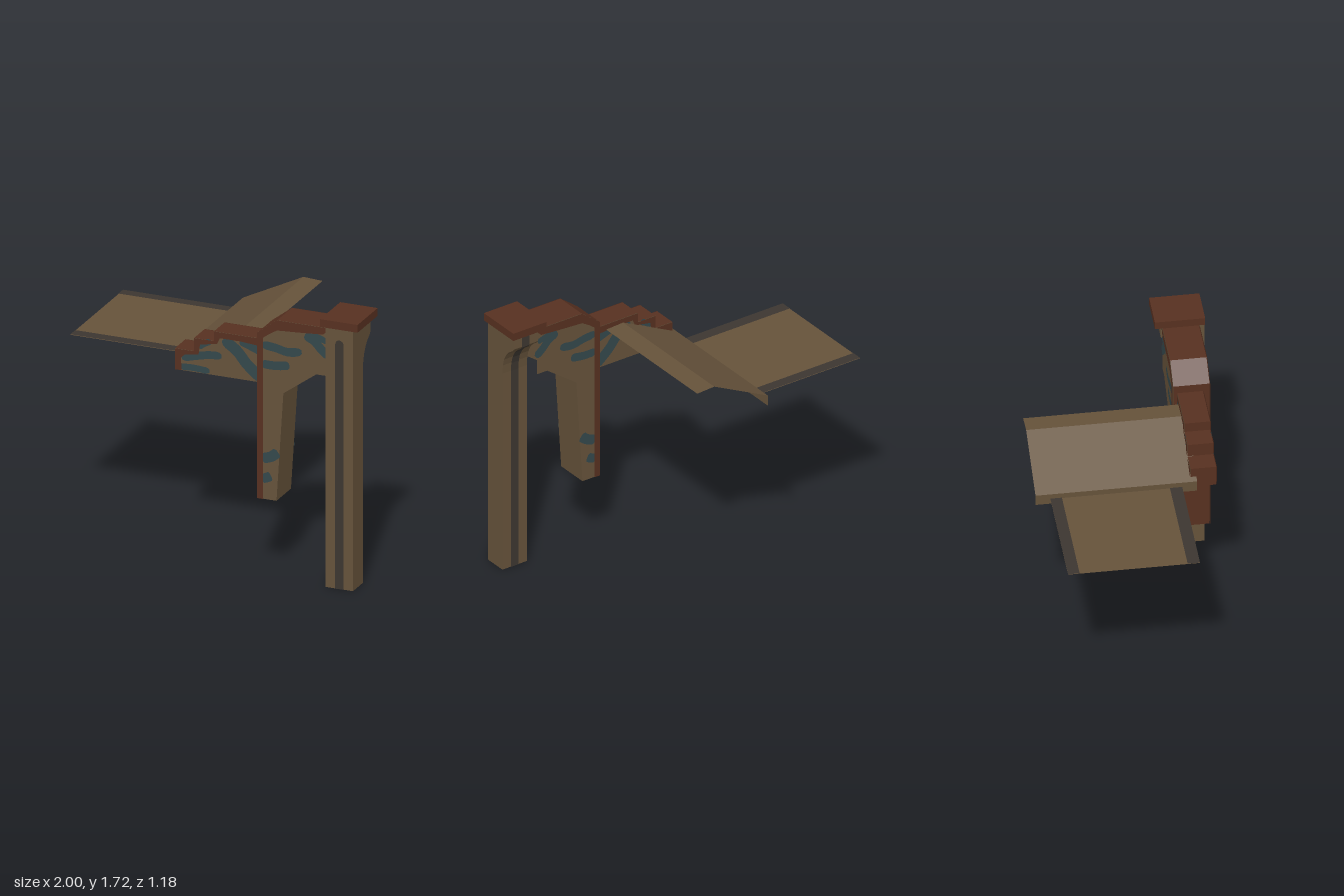
import * as THREE from 'three';

const mat = (name, color) => new THREE.MeshStandardMaterial({ name, color, side: THREE.DoubleSide });

export function createModel() {
  const olive = mat('olive', 0x65523a);
  const brown = mat('redBrown', 0x573020);
  const blue = mat('slateBlue', 0x34474b);
  const dark = mat('charcoal', 0x3c3630);

  const model = new THREE.Group();
  const group = (name) => {
    const g = new THREE.Group();
    g.name = name;
    model.add(g);
    return g;
  };
  const add = (parent, name, geometry, material) => {
    const m = new THREE.Mesh(geometry, material);
    m.name = name;
    parent.add(m);
    return m;
  };

  // Open strip: a 2D path swept straight from z0 to z1, flat shaded
  const ribbon = (path, z0, z1) => {
    const v = [];
    for (let i = 0; i < path.length - 1; i++) {
      const [ax, ay] = path[i], [bx, by] = path[i + 1];
      v.push(ax, ay, z0, bx, by, z0, bx, by, z1, ax, ay, z0, bx, by, z1, ax, ay, z1);
    }
    const g = new THREE.BufferGeometry();
    g.setAttribute('position', new THREE.Float32BufferAttribute(v, 3));
    g.computeVertexNormals();
    return g;
  };
  // Flat plate facing +z, or -z when back is true
  const plate = (pts, z, back) => {
    const g = new THREE.ShapeGeometry(new THREE.Shape(pts.map(([x, y]) => new THREE.Vector2(x, y))));
    if (back) {
      const idx = Array.from(g.index.array).reverse();
      g.setIndex(idx);
      g.computeVertexNormals();
    }
    return g.translate(0, 0, z);
  };
  // Outline of a brush stroke along a curve, rounded at both ends
  const stroke = (pts, width) => {
    const curve = new THREE.SplineCurve(pts.map(([x, y]) => new THREE.Vector2(x, y)));
    const up = [], down = [], n = 14;
    for (let i = 0; i <= n; i++) {
      const t = i / n, p = curve.getPoint(t), d = curve.getTangent(t);
      const w = (width / 2) * Math.min(1, 0.45 + 5 * Math.min(t, 1 - t));
      up.push([p.x - d.y * w, p.y + d.x * w]);
      down.unshift([p.x + d.y * w, p.y - d.x * w]);
    }
    return up.concat(down);
  };
  // Both painted sides of a wall: base, strokes and edge trim
  const wallSides = (g, outline, trim, strokes, zBack, zFront) => {
    for (const back of [false, true]) {
      const z = back ? zBack : zFront, s = back ? -1 : 1, side = back ? 'Back' : 'Front';
      add(g, 'wall' + side, plate(outline, z, back), olive);
      add(g, 'trim' + side, plate(trim, z + s * 0.004, back), brown);
      for (const [pts, w] of strokes)
        add(g, 'stroke' + side, plate(stroke(pts, w), z + s * 0.002, back), blue);
    }
  };

  // Post with a curved bracket at the back (local x = world z)
  const post = group('post');
  post.rotation.y = -Math.PI / 2;
  const backPath = [[0.435, 0], [0.435, 1.36], [0.43, 1.42], [0.418, 1.466], [0.395, 1.51],
    [0.367, 1.54], [0.33, 1.566], [0.32, 1.58], [0.32, 1.67]];
  const postOutline = [[0.585, 0], [0.585, 1.67], ...backPath.slice().reverse()];
  add(post, 'postLeft', plate(postOutline, -0.97, true), olive);
  add(post, 'postRight', plate(postOutline, -0.79, false), olive);
  add(post, 'postFaces', ribbon(postOutline, -0.97, -0.79), olive);
  add(post, 'backStripe', ribbon(backPath.map(([z, y]) => [z - 0.003, y - (z < 0.434 && y < 1.6 ? 0.003 : 0)]),
    -0.91, -0.855), dark);

  const stripe = [[0.855, 0], [0.91, 0]];
  for (let i = 0; i <= 8; i++) {
    const a = (i / 8) * Math.PI;
    stripe.push([0.8825 + 0.0275 * Math.cos(a), 1.575 + 0.0275 * Math.sin(a)]);
  }
  add(model, 'frontStripe', plate(stripe, 0.588, false), dark);
  add(model, 'postCap', new THREE.BoxGeometry(0.245, 0.05, 0.305).translate(0.8775, 1.695, 0.4325), brown);

  // Arch with a hanging leg, open underneath
  const arch = group('arch');
  const archEdge = [[0.33, 0.49], [0.33, 1.555], [0.46, 1.655], [0.79, 1.655]];
  wallSides(arch,
    [...archEdge, [0.79, 1.345], [0.715, 1.345], [0.5, 1.19], [0.455, 0.49]],
    [...archEdge, [0.79, 1.635], [0.76, 1.61], [0.63, 1.6], [0.46, 1.59], [0.41, 1.56], [0.37, 1.53], [0.37, 0.49]],
    [
      [[[0.36, 1.485], [0.45, 1.475], [0.53, 1.46], [0.62, 1.475]], 0.055],
      [[[0.36, 1.36], [0.45, 1.36], [0.54, 1.375]], 0.055],
      [[[0.64, 1.585], [0.7, 1.56], [0.75, 1.51], [0.8, 1.47]], 0.06],
      [[[0.68, 1.59], [0.73, 1.585], [0.785, 1.565]], 0.04],
      [[[0.36, 0.75], [0.42, 0.77], [0.465, 0.805]], 0.065],
      [[[0.36, 0.62], [0.39, 0.63], [0.42, 0.645]], 0.06],
    ], 0.33, 0.55);
  add(arch, 'archRim', ribbon(archEdge, 0.33, 0.55), brown);
  add(arch, 'legInner', ribbon([[0.5, 1.19], [0.455, 0.49]], 0.33, 0.55), olive);

  // Stepped wing, open underneath
  const wing = group('steppedWing');
  const wingEdge = [[-0.225, 1.22], [-0.225, 1.355], [-0.1, 1.355], [-0.1, 1.44],
    [0.03, 1.44], [0.03, 1.503], [0.33, 1.503]];
  wallSides(wing,
    [...wingEdge, [0.33, 1.22]],
    [...wingEdge, [0.33, 1.455], [0.2, 1.465], [0.07, 1.465], [0.05, 1.425], [-0.06, 1.405],
      [-0.07, 1.34], [-0.16, 1.325], [-0.185, 1.3], [-0.18, 1.22]],
    [
      [[[-0.19, 1.243], [-0.1, 1.247], [0, 1.24]], 0.042],
      [[[-0.18, 1.3], [-0.09, 1.325], [0, 1.345], [0.08, 1.35]], 0.05],
      [[[-0.07, 1.385], [-0.04, 1.41], [0.01, 1.435]], 0.04],
      [[[0.09, 1.46], [0.18, 1.4], [0.25, 1.32], [0.36, 1.23]], 0.075],
      [[[0.2, 1.465], [0.26, 1.445], [0.34, 1.415]], 0.05],
    ], 0.355, 0.51);
  add(wing, 'wingRim', ribbon(wingEdge, 0.355, 0.51), brown);

  // Sloping canopy sheet with a turned-down lip
  add(model, 'canopy', ribbon([[0.265, 1.468], [0.14, 1.475], [-0.255, 1.28], [-0.255, 1.21]], -0.59, 0.39), olive);

  // Level awning sheet with dark borders
  const awning = group('awning');
  add(awning, 'awningSheet', ribbon([[-1, 1.245], [-0.255, 1.245]], 0.3, -0.5), olive);
  for (const [z0, z1] of [[-0.43, -0.5], [0.3, 0.225]])
    add(awning, 'awningBorder', ribbon([[-1, 1.248], [-0.255, 1.248]], z0, z1), dark);

  return model;
}
